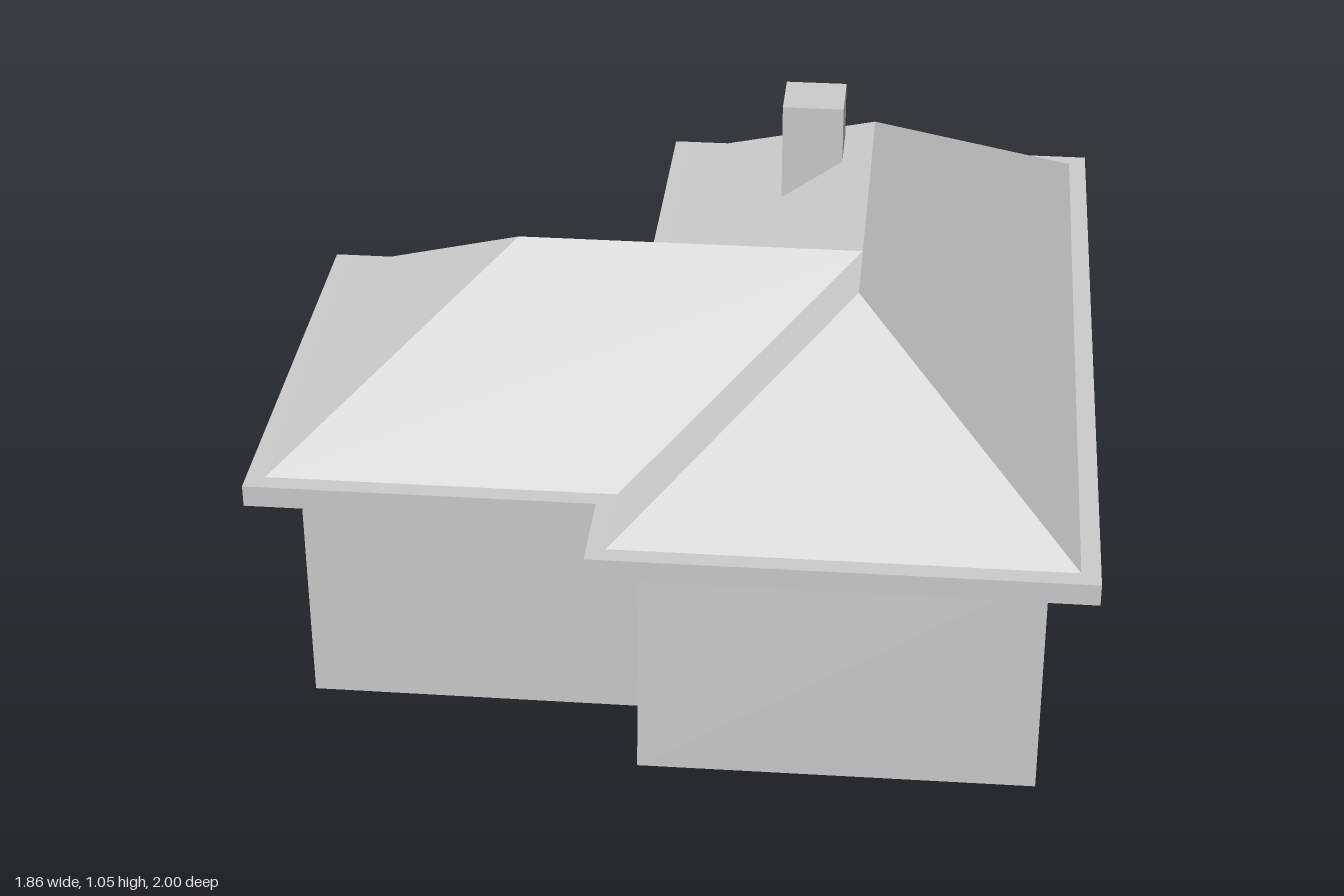
import * as THREE from 'three';

const WALL_TOP = 0.56, EAVE_TOP = 0.61, RIDGE = 0.963;

// T-shaped footprint, inset by d, counter-clockwise seen from above, at height y
function outline(d, y) {
  const inner = -0.155 + d, right = 0.925 - d, left = -0.93 + d;
  const front = 1 - d, wingFront = 0.785 - d, wingBack = -0.29 + d;
  return [
    [left, y, wingFront], [inner, y, wingFront], [inner, y, front], [right, y, front],
    [right, y, -front], [inner, y, -front], [inner, y, wingBack], [left, y, wingBack],
  ];
}

// Flat convex polygons, fanned into triangles with their own normals
function faces(polygons) {
  const points = [];
  for (const p of polygons) {
    for (let i = 1; i < p.length - 1; i++) points.push(...p[0], ...p[i], ...p[i + 1]);
  }
  const geometry = new THREE.BufferGeometry();
  geometry.setAttribute('position', new THREE.Float32BufferAttribute(points, 3));
  geometry.computeVertexNormals();
  return geometry;
}

// Closed band of quads joining two outlines
function band(a, b) {
  return faces(a.map((p, i) => {
    const j = (i + 1) % a.length;
    return [p, a[j], b[j], b[i]];
  }));
}

export function createModel() {
  const group = new THREE.Group();
  group.name = 'house';
  const plaster = new THREE.MeshStandardMaterial({ color: 0xcccccc, side: THREE.DoubleSide });
  plaster.name = 'lightGrey';

  function add(name, geometry) {
    const mesh = new THREE.Mesh(geometry, plaster);
    mesh.name = name;
    group.add(mesh);
    return mesh;
  }

  // Walls, open underneath, the front corners splayed slightly at the ground
  const base = outline(0.104, 0);
  base[2][0] -= 0.008;
  base[2][2] += 0.004;
  const wallTop = outline(0.104, WALL_TOP);
  wallTop[2][2] -= 0.006;
  add('walls', band(base, wallTop));

  // Eaves: soffit, fascia and the narrow ledge around the roof
  add('soffit', band(wallTop, outline(0, WALL_TOP)));
  add('fascia', band(outline(0, WALL_TOP), outline(0, EAVE_TOP)));
  const e = outline(0.042, EAVE_TOP);
  add('eaveLedge', band(outline(0, EAVE_TOP), e));

  // Hipped roofs of the main block and the side wing, joined by two valleys
  const ridgeFront = [0.387, RIDGE, 0.432], ridgeBack = [0.387, RIDGE, -0.432];
  const wingRidge = [-0.39, RIDGE, 0.238], junction = [0.387, RIDGE, 0.238];
  add('mainRoof', faces([
    [e[2], e[3], ridgeFront],
    [e[3], e[4], ridgeBack, ridgeFront],
    [e[4], e[5], ridgeBack],
    [e[5], e[6], junction, ridgeBack],
    [e[1], e[2], ridgeFront, junction],
  ]));
  add('wingRoof', faces([
    [e[0], e[1], junction, wingRidge],
    [e[6], e[7], wingRidge, junction],
    [e[7], e[0], wingRidge],
  ]));

  // Chimney, standing in the inner slope beside the ridge
  add('chimney', new THREE.BoxGeometry(0.145, 0.25, 0.145)).position.set(0.242, 0.925, -0.382);

  return group;
}
